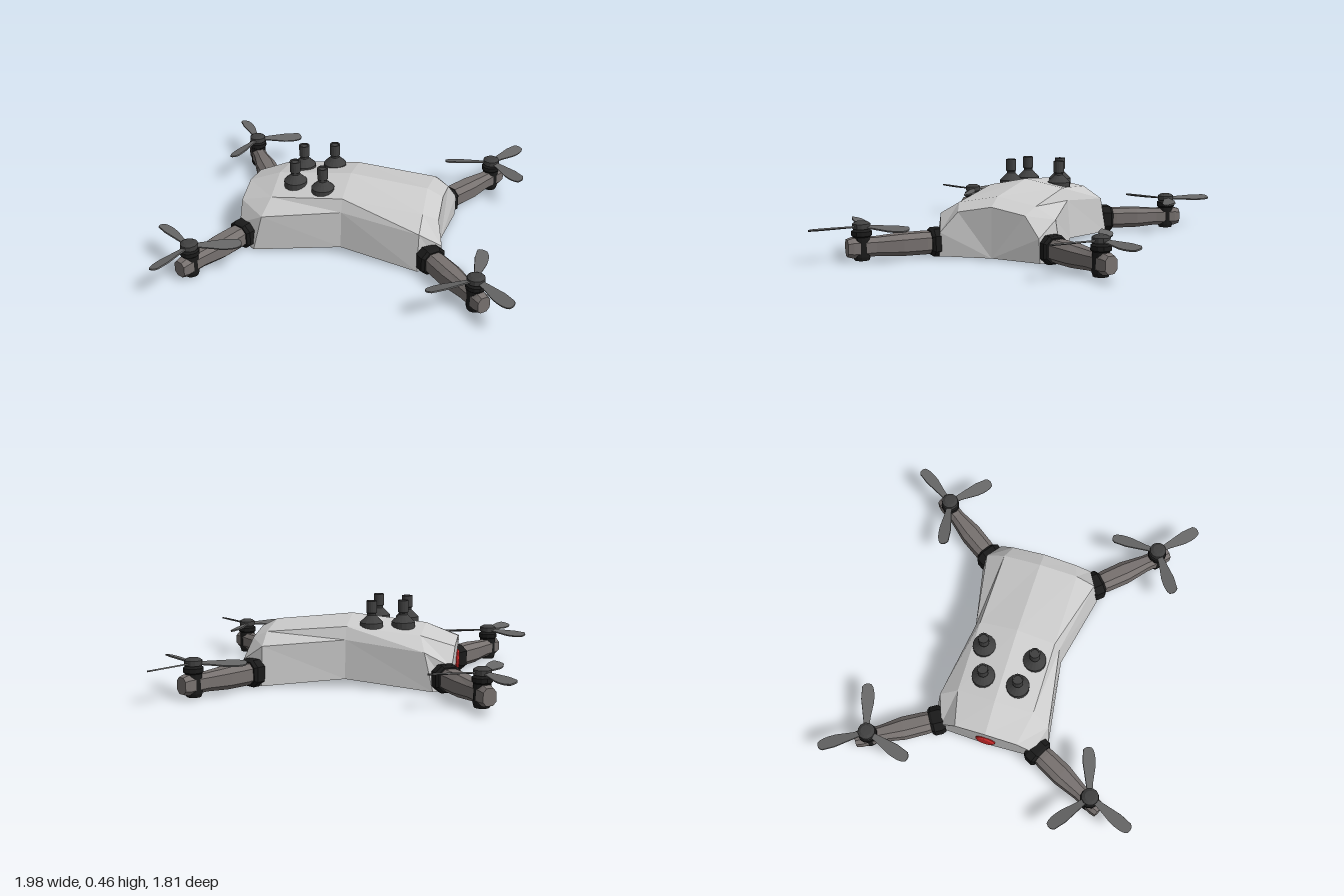
import * as THREE from 'three';

const mat = (color, side = THREE.FrontSide) =>
  new THREE.MeshStandardMaterial({ color, flatShading: true, side });
const shellMat = mat(0xcccccc);
const armMat = mat(0x77716f);
const blackMat = mat(0x1a1a1a);
const bladeMat = mat(0x666666, THREE.DoubleSide);
const knobMat = mat(0x404040);
const redMat = mat(0xd02a2a);

function mesh(name, geometry, material) {
  const m = new THREE.Mesh(geometry, material);
  m.name = name;
  return m;
}

// Skins closed rings (ordered along +x, counterclockwise seen from +x); caps fan from ring point "pivot"
function loft(rings, pivot = 0) {
  const n = rings[0].length, last = (rings.length - 1) * n, index = [];
  for (let i = 0; i < rings.length - 1; i++) {
    for (let j = 0; j < n; j++) {
      const k = (j + 1) % n;
      const a = i * n + j, b = i * n + k, c = b + n, d = a + n;
      index.push(a, b, c, a, c, d);
    }
  }
  for (let s = 1; s < n - 1; s++) {
    const p = (pivot + s) % n, q = (pivot + s + 1) % n;
    index.push(last + pivot, last + p, last + q, pivot, q, p);
  }
  const g = new THREE.BufferGeometry();
  g.setAttribute('position', new THREE.Float32BufferAttribute(rings.flat(2), 3));
  g.setIndex(index);
  g.computeVertexNormals();
  return g;
}

// Body ring from ridge, shoulder, side and foot points, mirrored in z
function bodyRing(ridge, shoulder, side, foot, keel) {
  const flip = ([x, y, z]) => [x, y, -z];
  return [ridge, shoulder, side, foot, keel, flip(foot), flip(side), flip(shoulder)];
}

// Rectangle with cut corners, across the x axis
function octagon(x, width, height) {
  const w = width / 2, h = height / 2, cw = w * 0.5, ch = h * 0.55;
  return [[x, h, -cw], [x, h, cw], [x, ch, w], [x, -ch, w],
    [x, -h, cw], [x, -h, -cw], [x, -ch, -w], [x, ch, -w]];
}

function lathe(points, sides) {
  return new THREE.LatheGeometry(points.map(([r, y]) => new THREE.Vector2(r, y)), sides);
}

// One blade along +x, slightly pitched
function bladeGeometry() {
  const s = new THREE.Shape();
  s.moveTo(0.02, -0.014);
  s.lineTo(0.08, -0.02);
  s.lineTo(0.17, -0.038);
  s.quadraticCurveTo(0.25, -0.045, 0.277, -0.022);
  s.quadraticCurveTo(0.29, 0.012, 0.262, 0.03);
  s.lineTo(0.19, 0.034);
  s.lineTo(0.09, 0.022);
  s.lineTo(0.02, 0.014);
  const g = new THREE.ExtrudeGeometry(s, { depth: 0.008, bevelEnabled: false, curveSegments: 4 });
  g.translate(0, 0, -0.004);
  g.rotateX(-Math.PI / 2 + 0.25);
  return g;
}

export function createModel() {
  const model = new THREE.Group();
  model.name = 'quadcopter';

  // Faceted body shell, pinched at the waist
  const body = mesh('body', loft([
    bodyRing([-0.62, 0.26, 0], [-0.615, 0.23, 0.18], [-0.605, 0.13, 0.27], [-0.6, 0.01, 0.27], [-0.61, 0.01, 0]),
    bodyRing([-0.44, 0.33, 0], [-0.43, 0.29, 0.22], [-0.46, 0.215, 0.32], [-0.51, 0.005, 0.338], [-0.5, 0.005, 0]),
    bodyRing([-0.02, 0.375, 0], [-0.02, 0.33, 0.22], [-0.02, 0.26, 0.25], [-0.02, 0.045, 0.268], [-0.02, 0.045, 0]),
    bodyRing([0.42, 0.33, 0], [0.43, 0.29, 0.22], [0.43, 0.225, 0.33], [0.43, 0.008, 0.362], [0.42, 0.008, 0]),
    bodyRing([0.51, 0.285, 0], [0.515, 0.25, 0.19], [0.55, 0.14, 0.28], [0.55, 0.01, 0.285], [0.51, 0.01, 0]),
  ], 4), shellMat);
  body.position.z = -0.006;
  model.add(body);

  // Round light on the end face
  const light = mesh('endLight', lathe([[0, 0], [0.058, 0], [0.058, 0.018], [0.045, 0.026], [0, 0.026]], 16), redMat);
  light.rotation.z = Math.PI / 2;
  light.position.set(-0.602, 0.125, -0.01);
  model.add(light);

  // Knobs on the roof
  const knobGeo = lathe([[0, -0.03], [0.065, -0.03], [0.065, 0.025], [0.042, 0.047], [0.03, 0.06],
    [0.025, 0.065], [0.025, 0.075], [0.03, 0.08], [0.03, 0.145], [0.022, 0.145], [0.022, 0.138], [0, 0.138]], 16);
  for (const [x, z] of [[-0.32, -0.11], [-0.15, -0.16], [-0.32, 0.09], [-0.15, 0.135]]) {
    const knob = mesh('knob', knobGeo, knobMat);
    knob.position.set(x, 0.322, z);
    model.add(knob);
  }

  // Arms: joint position, motor position, blade angles in degrees
  const arms = [
    { joint: [-0.58, -0.32], motor: [-0.782, -0.652], angles: [235, 341, 106] },
    { joint: [0.49, -0.342], motor: [0.717, -0.665], angles: [304, 170, 44] },
    { joint: [-0.58, 0.29], motor: [-0.765, 0.642], angles: [217, 342, 113] },
    { joint: [0.5, 0.325], motor: [0.775, 0.622], angles: [271, 43, 146] },
  ];
  const motorGeo = lathe([[0, 0.01], [0.04, 0.01], [0.046, 0.03], [0.046, 0.135], [0.054, 0.142],
    [0.054, 0.165], [0.034, 0.178], [0.034, 0.183]], 12);
  const hubGeo = lathe([[0, 0.178], [0.048, 0.178], [0.048, 0.205], [0.03, 0.216], [0, 0.218]], 12);
  const bladeGeo = bladeGeometry();
  const collarGeo = loft([octagon(-0.045, 0.13, 0.135), octagon(-0.025, 0.152, 0.15),
    octagon(0.02, 0.152, 0.15), octagon(0.035, 0.125, 0.13)]);

  for (const { joint: [jx, jz], motor: [mx, mz], angles } of arms) {
    const length = Math.hypot(mx - jx, mz - jz);
    const arm = new THREE.Group();
    arm.name = 'arm';
    arm.position.set(jx, 0.078, jz);
    arm.rotation.y = -Math.atan2(mz - jz, mx - jx);
    arm.add(mesh('armCollar', collarGeo, blackMat));
    arm.add(mesh('armBeam', loft([
      octagon(0, 0.1, 0.11), octagon(0.06, 0.115, 0.12), octagon(0.19, 0.12, 0.118),
      octagon(length - 0.07, 0.085, 0.1), octagon(length + 0.05, 0.085, 0.108),
      octagon(length + 0.08, 0.075, 0.09),
    ]), armMat));
    model.add(arm);

    // Motor with a three-bladed rotor
    const rotor = new THREE.Group();
    rotor.name = 'rotor';
    rotor.position.set(mx, 0, mz);
    rotor.add(mesh('motor', motorGeo, blackMat), mesh('rotorHub', hubGeo, knobMat));
    for (const deg of angles) {
      const blade = mesh('rotorBlade', bladeGeo, bladeMat);
      blade.position.y = 0.188;
      blade.rotation.y = -THREE.MathUtils.degToRad(deg);
      rotor.add(blade);
    }
    model.add(rotor);
  }
  return model;
}
